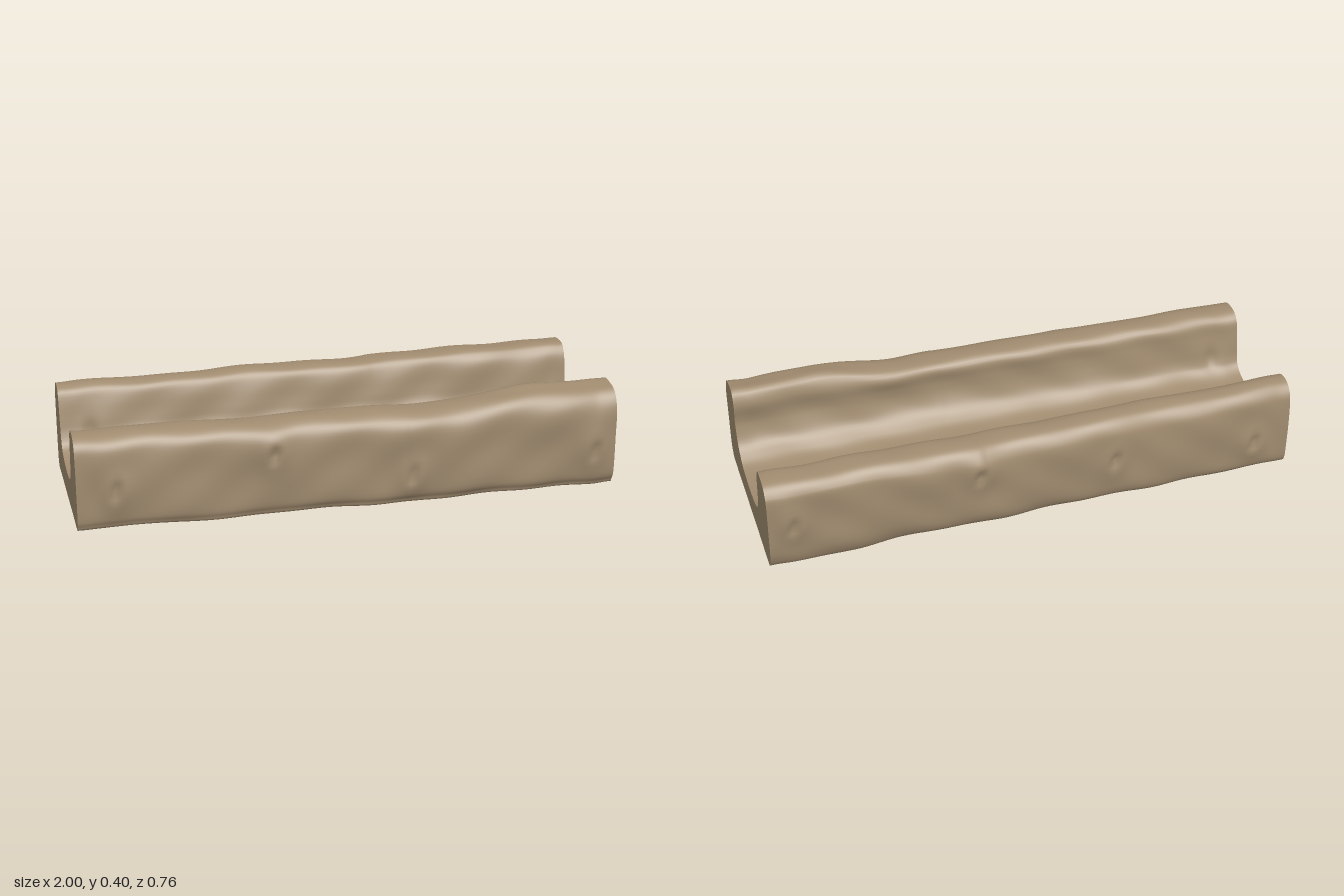
import * as THREE from 'three';

const wood = new THREE.MeshStandardMaterial({ color: 0xa08b6f });
wood.name = 'weathered wood';

// Cross-sections [z, y] of the hollowed log at x = -1 and x = +1, running
// under the base, up the back wall, through the trough and over the front wall.
const leftEnd = [
  [0.333, 0.08], [0.325, 0.04], [0.30, 0.02], [0.15, 0.02], [0, 0.018], [-0.15, 0.018], [-0.29, 0.015],
  [-0.32, 0.025], [-0.332, 0.05], [-0.335, 0.1], [-0.337, 0.2], [-0.333, 0.29], [-0.325, 0.33], [-0.30, 0.36],
  [-0.27, 0.37], [-0.24, 0.367], [-0.215, 0.35], [-0.2, 0.31], [-0.187, 0.25], [-0.175, 0.2], [-0.15, 0.155],
  [-0.09, 0.13], [0, 0.122], [0.09, 0.13], [0.138, 0.155], [0.155, 0.19], [0.163, 0.24], [0.172, 0.29],
  [0.183, 0.34], [0.215, 0.367], [0.26, 0.37], [0.295, 0.36], [0.32, 0.335], [0.33, 0.29], [0.333, 0.2],
];
const rightEnd = [
  [0.36, 0.08], [0.345, 0.04], [0.32, 0.022], [0.16, 0.02], [0, 0.017], [-0.15, 0.015], [-0.30, 0.01],
  [-0.33, 0.014], [-0.35, 0.045], [-0.363, 0.1], [-0.366, 0.2], [-0.37, 0.31], [-0.36, 0.345], [-0.335, 0.37],
  [-0.30, 0.378], [-0.25, 0.377], [-0.225, 0.355], [-0.21, 0.32], [-0.2, 0.25], [-0.19, 0.2], [-0.162, 0.155],
  [-0.1, 0.128], [0, 0.122], [0.1, 0.13], [0.15, 0.155], [0.185, 0.19], [0.205, 0.25], [0.207, 0.29],
  [0.2, 0.35], [0.225, 0.4], [0.28, 0.398], [0.32, 0.388], [0.35, 0.355], [0.364, 0.3], [0.361, 0.2],
];

// Knots on the outer walls: [x, y, side]
const knots = [
  [-0.29, 0.26, 1], [0.22, 0.14, 1], [0.92, 0.17, 1], [-0.86, 0.17, 1],
  [-0.3, 0.2, -1], [0.22, 0.26, -1], [0.91, 0.2, -1], [-0.86, 0.15, -1],
];

const SEGMENTS = 160;
const AROUND = 140;
const clamp = THREE.MathUtils.clamp;
const smooth = THREE.MathUtils.smoothstep;
const bell = (d, w) => Math.exp(-(d * d) / (w * w));

const loop = (points) => new THREE.CatmullRomCurve3(
  points.map(([z, y]) => new THREE.Vector3(0, y, z)), true, 'catmullrom', 0.5,
);
const loops = [leftEnd, rightEnd].map((p) => {
  const curve = loop(p);
  return Array.from({ length: AROUND }, (_, j) => curve.getPoint(j / AROUND));
});

// Hewn surface: end profiles blended along x, plus waviness, knots and gouges
function surfacePoint(x, j) {
  const widen = clamp(x < 0.2 ? (x + 1) / 1.3 : 1, 0, 1);
  const rise = smooth(x, 0.35, 0.7);
  let z = THREE.MathUtils.lerp(loops[0][j].z, loops[1][j].z, widen);
  let y = THREE.MathUtils.lerp(loops[0][j].y, loops[1][j].y, rise);
  const y0 = y;
  const side = Math.sign(z);
  const inner = Math.abs(z) < 0.215 && y > 0.1;
  const fade = smooth(1 - Math.abs(x), 0, 0.08);

  // Long soft waves from the adze
  z += fade * side * (0.003 * Math.sin(x * 11 + y0 * 14 + side) + 0.002 * Math.sin(x * 23 - y0 * 31));
  y += fade * (0.003 * Math.sin(x * 9 + z * 8) + 0.0015 * Math.sin(x * 21 - z * 27));
  // Raised rim with a sunken heart for each knot
  if (!inner) {
    for (const [kx, ky, ks] of knots) {
      if (ks !== side || Math.abs(z) < 0.3) continue;
      const d = Math.hypot(x - kx, (y0 - ky) * 0.8);
      z += side * (0.017 * bell(d, 0.055) - 0.024 * bell(d, 0.02));
    }
  } else {
    // Chisel gouges in the trough
    y -= 0.012 * bell(x - 0.8, 0.13) * bell(z + 0.14 + (x - 0.8) * 0.08, 0.014);
    y -= 0.006 * bell(x + 0.75, 0.16) * bell(z + 0.01, 0.012);
    y -= 0.006 * bell(x - 0.25, 0.08) * bell(z + 0.01, 0.012);
    z += side * 0.012 * bell(x + 0.89, 0.025) * bell(y0 - 0.2, 0.04);
  }
  return [x, Math.max(y, 0), z];
}

function makeSkin() {
  const positions = [];
  const index = [];
  for (let i = 0; i <= SEGMENTS; i++) {
    for (let j = 0; j < AROUND; j++) positions.push(...surfacePoint(-1 + (2 * i) / SEGMENTS, j));
  }
  for (let i = 0; i < SEGMENTS; i++) {
    for (let j = 0; j < AROUND; j++) {
      const a = i * AROUND + j;
      const b = i * AROUND + ((j + 1) % AROUND);
      index.push(a, b, a + AROUND, b, b + AROUND, a + AROUND);
    }
  }
  const geometry = new THREE.BufferGeometry();
  geometry.setAttribute('position', new THREE.Float32BufferAttribute(positions, 3));
  geometry.setIndex(index);
  geometry.computeVertexNormals();
  return geometry;
}

// Sawn end face, matching the last ring of the skin
function makeCap(x) {
  const outline = Array.from({ length: AROUND }, (_, j) => {
    const [, y, z] = surfacePoint(x, j);
    return new THREE.Vector2(-z, y);
  });
  const geometry = new THREE.ShapeGeometry(new THREE.Shape(outline));
  geometry.rotateY(Math.PI / 2);
  geometry.translate(x, 0, 0);
  if (x < 0) {
    // Turn the left cap to face outwards
    const order = geometry.index.array;
    for (let k = 0; k < order.length; k += 3) [order[k], order[k + 1]] = [order[k + 1], order[k]];
    geometry.computeVertexNormals();
  }
  return geometry;
}

export function createModel() {
  const group = new THREE.Group();
  group.name = 'woodenTrough';
  const add = (name, geometry) => {
    const mesh = new THREE.Mesh(geometry, wood);
    mesh.name = name;
    group.add(mesh);
  };
  add('hollowedLog', makeSkin());
  add('leftEndFace', makeCap(1));
  add('rightEndFace', makeCap(-1));
  return group;
}
